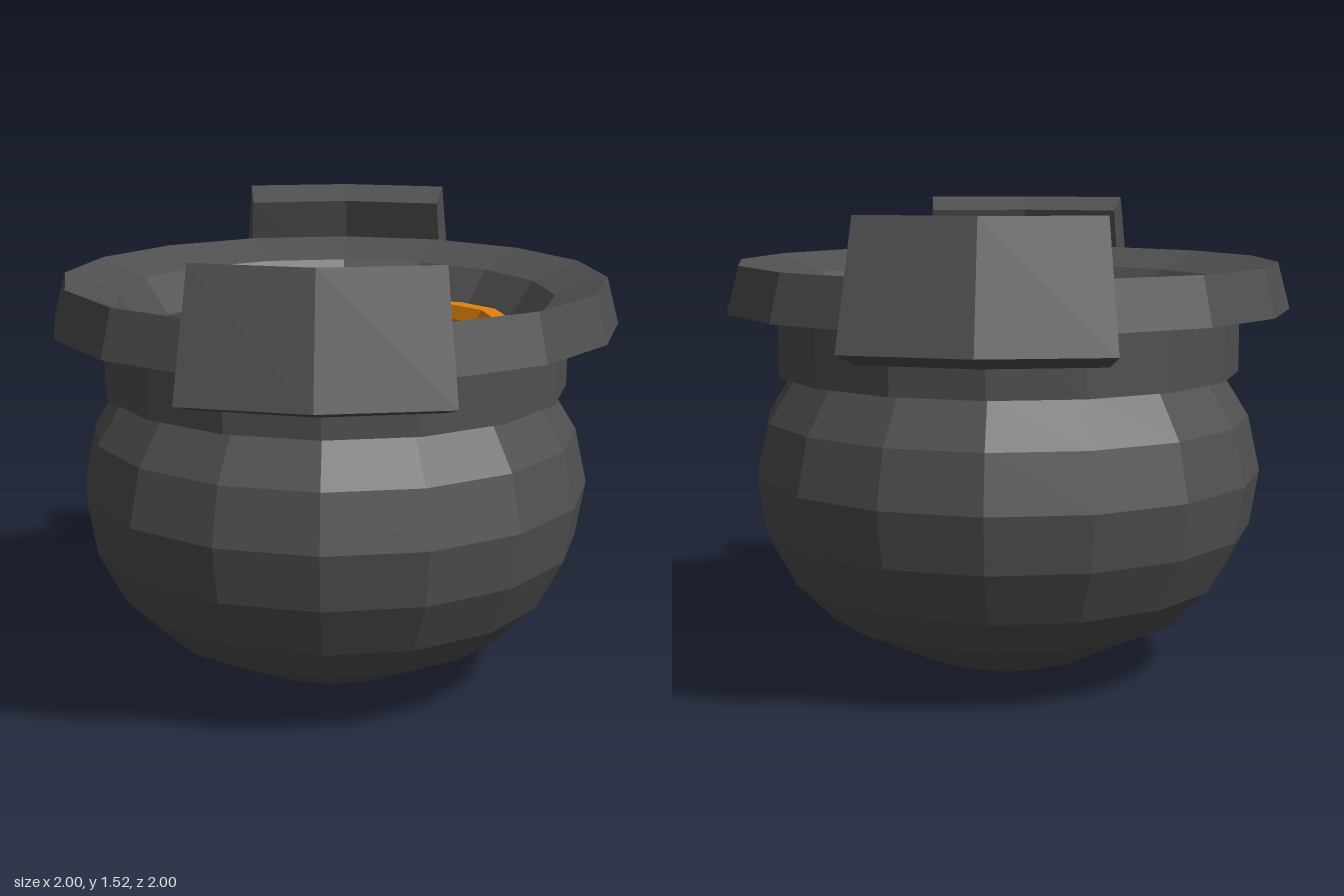
import * as THREE from 'three';

const SIDES = 16;
const dark = new THREE.MeshStandardMaterial({ color: 0x505050, flatShading: true });
const orange = new THREE.MeshStandardMaterial({ color: 0xe8850c, flatShading: true });

function addMesh(parent, name, geometry, material) {
  const mesh = new THREE.Mesh(geometry, material);
  mesh.name = name;
  parent.add(mesh);
  return mesh;
}

const lathe = (points) =>
  new THREE.LatheGeometry(points.map(([r, y]) => new THREE.Vector2(r, y)), SIDES);

// Tilted block bent once in the middle: four section corners swept over three angles
function claspGeometry() {
  // radius, height, half angle in degrees
  const section = [
    [0.985, 1.52, 21], [0.84, 1.475, 23.3], [0.945, 1.10, 22.2], [1.098, 1.145, 20.6],
  ];
  const positions = [];
  const indices = [];
  for (const t of [-1, 0, 1]) {
    for (const [r, y, half] of section) {
      const a = THREE.MathUtils.degToRad(45 + t * half);
      positions.push(r * Math.cos(a), y, r * Math.sin(a));
    }
  }
  for (let s = 0; s < 2; s++) {
    for (let c = 0; c < 4; c++) {
      const a = s * 4 + c, b = s * 4 + ((c + 1) % 4);
      indices.push(a, b, b + 4, a, b + 4, a + 4);
    }
  }
  indices.push(0, 2, 1, 0, 3, 2, 8, 9, 10, 8, 10, 11);
  const indexed = new THREE.BufferGeometry();
  indexed.setAttribute('position', new THREE.Float32BufferAttribute(positions, 3));
  indexed.setIndex(indices);
  const geometry = indexed.toNonIndexed();
  geometry.computeVertexNormals();
  return geometry;
}

export function createModel() {
  const model = new THREE.Group();
  model.name = 'potWithCoils';

  // Round bowl with collar and flared rim, then back down the hollow inside
  addMesh(model, 'bowl', lathe([
    [0, 0.04], [0.15, 0], [0.30, 0.05], [0.59, 0.19], [0.71, 0.31], [0.80, 0.48],
    [0.83, 0.66], [0.79, 0.84], [0.70, 0.985], [0.755, 0.985], [0.755, 1.19],
    [0.915, 1.19], [0.875, 1.34], [0.71, 1.28], [0.62, 1.16], [0.63, 1.0],
    [0.64, 0.82], [0.62, 0.66], [0.56, 0.5], [0.43, 0.34], [0.27, 0.2], [0, 0.07],
  ]), dark);

  // Two opposite clasps on the rim
  const clasp = claspGeometry();
  ['frontClasp', 'backClasp'].forEach((name, i) => {
    addMesh(model, name, clasp, dark).rotation.y = i * Math.PI;
  });

  // Loose stack of coils: centre x, y, z, then tilt about x and z
  const coils = new THREE.Group();
  coils.name = 'coils';
  model.add(coils);
  const ring = new THREE.TorusGeometry(0.485, 0.05, 6, SIDES).rotateX(Math.PI / 2);
  [
    [0, 1.125, -0.085, 0.02, 0.05],
    [0.09, 0.95, 0, 0.1, -0.1],
    [-0.06, 0.92, 0.02, -0.1, -0.1],
    [0, 0.84, 0.045, 0.06, 0.09],
    [0.05, 0.76, -0.03, -0.1, 0.06],
    [-0.04, 0.69, 0.02, 0.08, -0.08],
    [0.02, 0.61, 0, -0.04, 0.04],
  ].forEach(([x, y, z, tiltX, tiltZ], i) => {
    const coil = addMesh(coils, `coil${i + 1}`, ring, orange);
    coil.position.set(x, y, z);
    coil.rotation.set(tiltX, i * 0.15, tiltZ);
  });

  return model;
}
